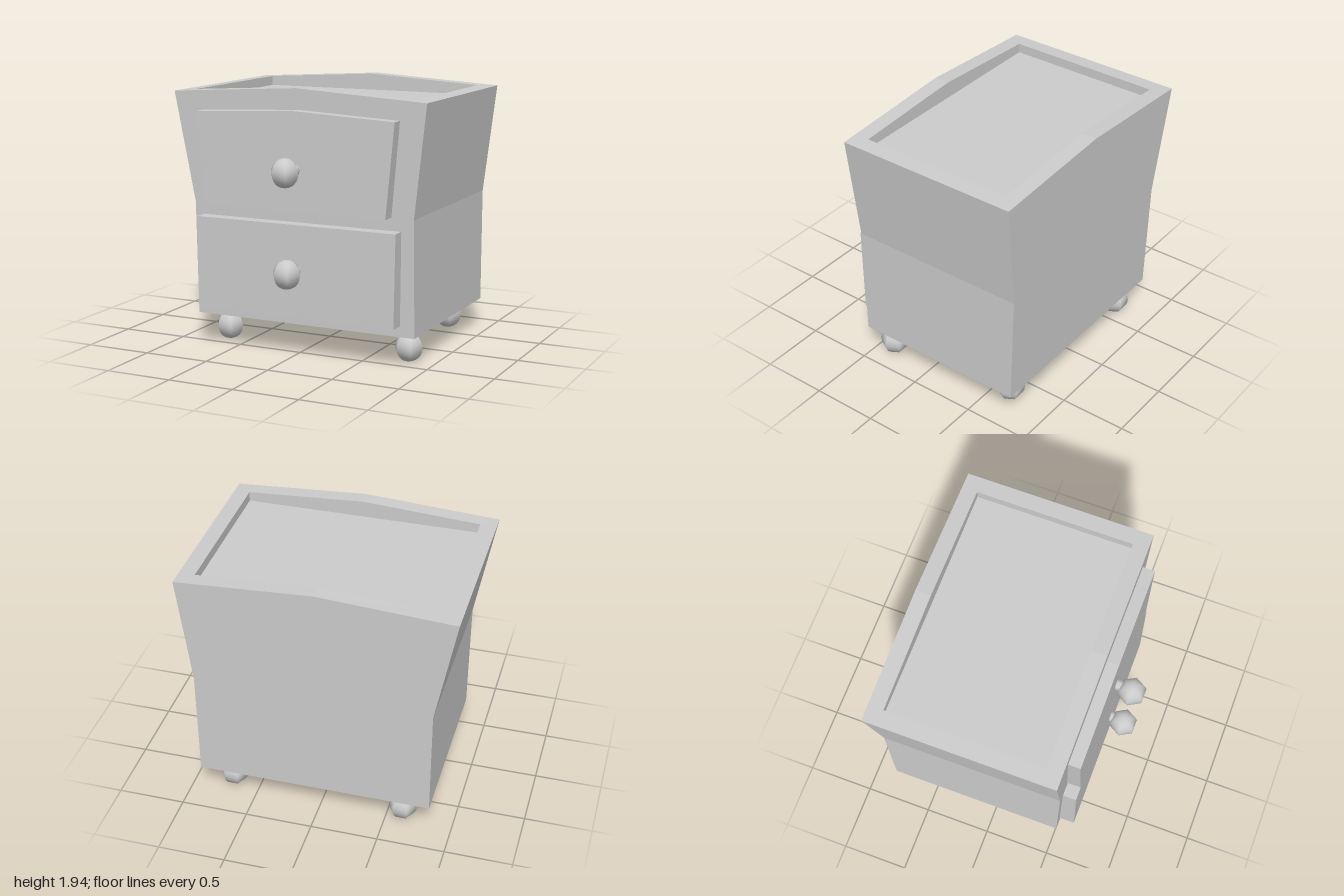
import * as THREE from 'three';

const material = new THREE.MeshStandardMaterial({ color: 0xcccccc });

function addMesh(parent, name, geometry, x = 0, y = 0, z = 0) {
  const mesh = new THREE.Mesh(geometry, material);
  mesh.name = name;
  mesh.position.set(x, y, z);
  parent.add(mesh);
  return mesh;
}

// Flared cabinet with leaning front and back and a sunken tray in the top
function cabinetGeometry() {
  const frontZ = y => 0.52 + (y - 0.22) * 0.021;
  const backZ = y => -0.815 - (y - 0.22) * 0.024;
  const outline = [[-0.84, 0.22], [0.91, 0.22], [0.905, 1.07], [1, 1.885], [0, 1.945], [-1, 1.885], [-0.845, 1.07]];
  const front = outline.map(([x, y]) => [x, y, frontZ(y)]);
  const back = outline.map(([x, y]) => [x, y, backZ(y)]);
  const positions = [];
  // Adds a convex face, corners counter-clockwise from outside
  const face = (...c) => {
    for (let i = 1; i < c.length - 1; i++) positions.push(...c[0], ...c[i], ...c[i + 1]);
  };

  // Front and back panels
  for (const ids of [[0, 1, 2, 6], [6, 2, 3, 5], [5, 3, 4]]) {
    face(...ids.map(i => front[i]));
    face(...ids.map(i => back[i]).reverse());
  }
  // Bottom and sides
  for (const [a, b] of [[0, 1], [1, 2], [2, 3], [5, 6], [6, 0]]) face(front[a], back[a], back[b], front[b]);

  // Rim and tray, peaked along the middle
  const inner = (z, level) => [[0.88, level ?? 1.892], [0, level ?? 1.945], [-0.88, level ?? 1.892]].map(([x, y]) => [x, y, z]);
  const rimF = inner(0.44), rimB = inner(-0.74);
  const floorF = inner(0.44, 1.82), floorB = inner(-0.74, 1.82);
  for (let i = 0; i < 2; i++) {
    face(front[i + 4], front[i + 3], rimF[i], rimF[i + 1]);
    face(back[i + 3], back[i + 4], rimB[i + 1], rimB[i]);
    face(rimF[i + 1], rimF[i], floorF[i], floorF[i + 1]);
    face(rimB[i], rimB[i + 1], floorB[i + 1], floorB[i]);
  }
  face(front[3], back[3], rimB[0], rimF[0]);
  face(back[5], front[5], rimF[2], rimB[2]);
  face(rimF[0], rimB[0], floorB[0], floorF[0]);
  face(rimB[2], rimF[2], floorF[2], floorB[2]);
  face(floorF[2], floorF[0], floorB[0], floorB[2]);

  const geometry = new THREE.BufferGeometry();
  geometry.setAttribute('position', new THREE.Float32BufferAttribute(positions, 3));
  geometry.computeVertexNormals();
  return geometry;
}

// Drawer front: an outline with depth, plus a ball knob on a short stem
function addDrawer(parent, name, points, frontZ, knobY, knobZ) {
  const drawer = new THREE.Group();
  drawer.name = name;
  parent.add(drawer);
  const shape = new THREE.Shape(points.map(([x, y]) => new THREE.Vector2(x, y)));
  const backZ = 0.5;
  addMesh(drawer, name + 'Panel', new THREE.ExtrudeGeometry(shape, { depth: frontZ - backZ, bevelEnabled: false }), 0, 0, backZ);
  const stem = new THREE.CylinderGeometry(0.043, 0.043, 0.1, 8).rotateX(Math.PI / 2);
  addMesh(drawer, name + 'Stem', stem, 0.035, knobY + 0.005, frontZ + 0.03);
  addMesh(drawer, name + 'Knob', ballGeometry(), 0.02, knobY, knobZ);
}

// Six-sided ball shared by knobs and feet
function ballGeometry() {
  return new THREE.SphereGeometry(0.106, 6, 12);
}

export function createModel() {
  const model = new THREE.Group();
  model.name = 'nightstand';

  addMesh(model, 'cabinet', cabinetGeometry());

  addDrawer(model, 'upperDrawer',
    [[-0.70, 1.075], [0.735, 1.075], [0.80, 1.755], [0.02, 1.793], [-0.765, 1.755]], 0.643, 1.37, 0.765);
  addDrawer(model, 'lowerDrawer',
    [[-0.77, 0.3], [0.80, 0.3], [0.81, 0.98], [-0.775, 0.98]], 0.637, 0.64, 0.745);

  // Slightly uneven ball feet
  const feet = { frontLeftFoot: [0.80, 0.355], frontRightFoot: [-0.66, 0.365], backLeftFoot: [0.70, -0.66], backRightFoot: [-0.62, -0.70] };
  for (const [name, [x, z]] of Object.entries(feet)) addMesh(model, name, ballGeometry(), x, 0.11, z);

  return model;
}
